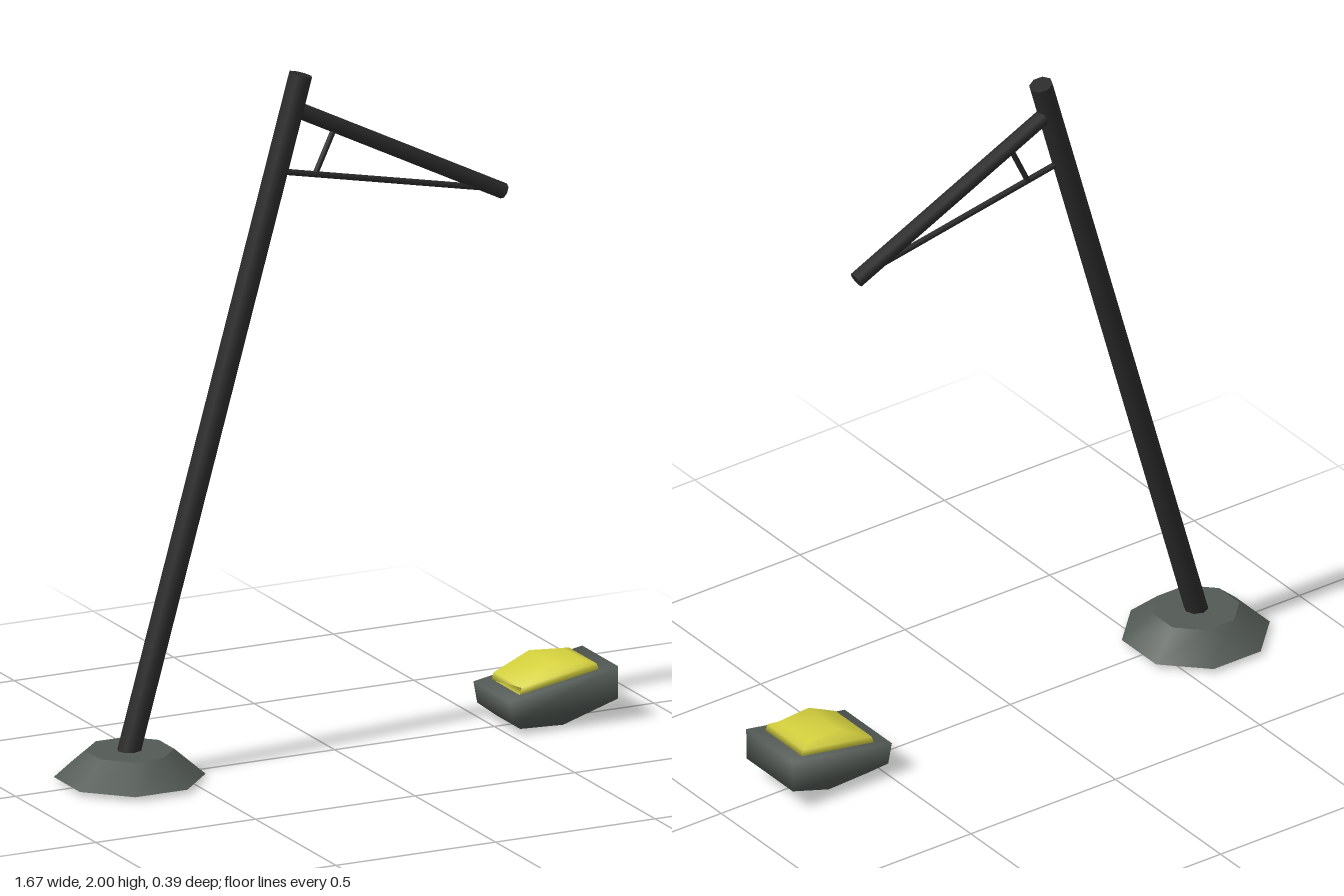
import * as THREE from 'three';

const material = (name, color, side = THREE.FrontSide) => {
  const m = new THREE.MeshStandardMaterial({ color, side });
  m.name = name;
  return m;
};

export function createModel() {
  const group = new THREE.Group();
  const black = material('blackMetal', 0x2a2a2a);
  const grey = material('greyMetal', 0x535a55, THREE.DoubleSide);
  const yellow = material('yellowGlass', 0xd6d23f);

  const add = (name, geometry, mat) => {
    const mesh = new THREE.Mesh(geometry, mat);
    mesh.name = name;
    group.add(mesh);
    return mesh;
  };

  // Round bar between two points
  const bar = (name, from, to, radius, sides = 8) => {
    const a = new THREE.Vector3(...from);
    const b = new THREE.Vector3(...to);
    const dir = b.clone().sub(a);
    const mesh = add(name, new THREE.CylinderGeometry(radius, radius, dir.length(), sides), black);
    mesh.position.copy(a).add(b).multiplyScalar(0.5);
    mesh.quaternion.setFromUnitVectors(new THREE.Vector3(0, 1, 0), dir.normalize());
    return mesh;
  };

  // Closed loft of rectangles, bottom to top: [xLeft, yLeft, xRight, yRight, halfDepth]
  const loft = (rings) => {
    const points = [];
    const index = [];
    for (const [x0, y0, x1, y1, h] of rings) {
      points.push(x0, y0, -h, x0, y0, h, x1, y1, h, x1, y1, -h);
    }
    for (let r = 0; r < rings.length - 1; r++) {
      for (let i = 0; i < 4; i++) {
        const a = r * 4 + i;
        const b = r * 4 + ((i + 1) % 4);
        index.push(a, b, b + 4, a, b + 4, a + 4);
      }
    }
    const t = (rings.length - 1) * 4;
    index.push(0, 2, 1, 0, 3, 2, t, t + 1, t + 2, t, t + 2, t + 3);
    const g = new THREE.BufferGeometry();
    g.setAttribute('position', new THREE.Float32BufferAttribute(points, 3));
    g.setIndex(index);
    g.computeVertexNormals();
    return g;
  };

  // Hollow octagonal foot, open underneath, with a lid on top
  const foot = new THREE.Group();
  foot.name = 'foot';
  foot.position.x = -0.642;
  const skirt = new THREE.Mesh(new THREE.CylinderGeometry(0.125, 0.213, 0.075, 8, 1, true, Math.PI / 8), grey);
  skirt.name = 'footSkirt';
  skirt.position.y = 0.052;
  const lid = new THREE.Mesh(new THREE.CircleGeometry(0.125, 8, Math.PI / 8), grey);
  lid.name = 'footLid';
  lid.rotation.x = -Math.PI / 2;
  lid.position.y = 0.0895;
  foot.add(skirt, lid);
  group.add(foot);

  // Leaning pole and its bracket
  bar('pole', [-0.646, 0.08, 0], [-0.106, 1.991, 0], 0.034);
  bar('arm', [-0.13, 1.895, -0.004], [0.522, 1.568, 0.015], 0.023);
  bar('lowerBrace', [-0.155, 1.712, 0], [0.5, 1.578, 0.014], 0.009, 6);
  bar('shortBrace', [-0.062, 1.69, 0], [0.002, 1.825, 0], 0.008, 6);

  // Fallen lamp head lying on its back
  add('lampHousing', loft([
    [0.545, 0.008, 0.68, 0.002, 0.072],
    [0.502, 0.042, 0.832, 0.068, 0.11],
    [0.491, 0.105, 0.832, 0.163, 0.112],
  ]), grey);
  add('lampGlass', loft([
    [0.535, 0.11, 0.785, 0.152, 0.088],
    [0.542, 0.132, 0.777, 0.172, 0.086],
    [0.645, 0.186, 0.75, 0.178, 0.072],
  ]), yellow);

  return group;
}
